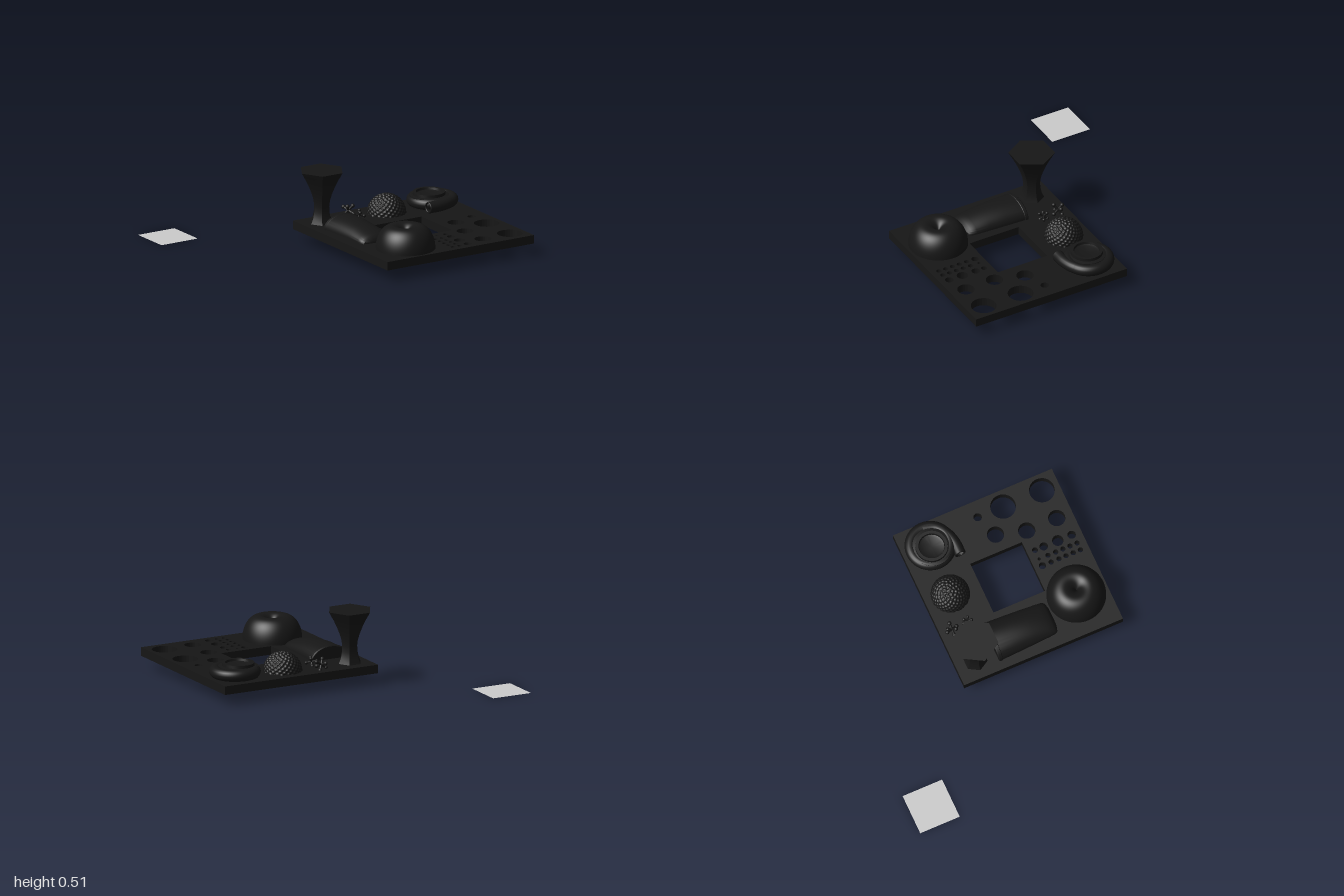
import * as THREE from 'three';
import { toCreasedNormals } from 'three/addons/utils/BufferGeometryUtils.js';

const BOTTOM = 0.083, TOP = 0.143;
const dark = new THREE.MeshStandardMaterial({ color: 0x161616, side: THREE.DoubleSide });
const grey = new THREE.MeshStandardMaterial({ color: 0xcccccc, side: THREE.DoubleSide });
const v2 = (pts) => pts.map(([x, y]) => new THREE.Vector2(x, y));

function add(parent, name, geometry, x = 0, y = 0, z = 0, material = dark) {
  const mesh = new THREE.Mesh(geometry, material);
  mesh.name = name;
  mesh.position.set(x, y, z);
  parent.add(mesh);
  return mesh;
}

// Board with a square window and a set of round holes
function boardGeometry() {
  const rect = (C, x0, x1, z0, z1) => new C(v2([[x0, z0], [x1, z0], [x1, z1], [x0, z1]]));
  const shape = rect(THREE.Shape, -0.19, 1, -0.25, 0.935);
  shape.holes.push(rect(THREE.Path, 0.21, 0.597, 0.147, 0.532));
  const circles = [
    [0.885, 0.52, 0.088], [0.885, 0.81, 0.088], [0.72, 0.39, 0.059], [0.885, 0.33, 0.029],
    [0.66, 0.596, 0.059], [0.66, 0.82, 0.059], [0.508, 0.59, 0.02], [0.508, 0.655, 0.029],
    [0.508, 0.76, 0.039], [0.508, 0.863, 0.029], [0.384, 0.59, 0.025], [0.438, 0.59, 0.011],
  ];
  for (const x of [0.384, 0.438])
    for (const z of [0.655, 0.713, 0.767, 0.82, 0.873]) circles.push([x, z, 0.018]);
  for (const [x, z, r] of circles)
    shape.holes.push(new THREE.Path().absarc(x, z, r, 0, Math.PI * 2, true));
  return new THREE.ExtrudeGeometry(shape, { depth: TOP - BOTTOM, bevelEnabled: false, curveSegments: 16 })
    .rotateX(Math.PI / 2);
}

// Dome with a dimpled crown: upper half of a ring whose tube overlaps its axis
function domeGeometry() {
  const R = 0.093, r = 0.111, h = 0.162, end = Math.PI - Math.acos(R / r);
  const pts = [];
  for (let i = 0; i <= 28; i++) {
    const a = (end * i) / 28;
    pts.push([Math.max(0, R + r * Math.cos(a)), h * Math.sin(a)]);
  }
  return new THREE.LatheGeometry(v2(pts), 64);
}

// Half cup lying on its side: half-ellipse sections [z, half width, height]
function cupGeometry() {
  const rows = [
    [0.04, 0, 0], [0.04, 0.142, 0.088], [0.046, 0.149, 0.094], [0.065, 0.149, 0.095], [0.068, 0.145, 0.092],
    [0.2, 0.139, 0.094], [0.33, 0.132, 0.082], [0.43, 0.126, 0.062], [0.47, 0.122, 0.05],
    [0.49, 0.11, 0.035], [0.5, 0.07, 0.018], [0.502, 0, 0],
  ];
  const n = 32, g = new THREE.PlaneGeometry(1, 1, n, rows.length - 1), p = g.attributes.position;
  for (let j = 0; j < rows.length; j++) {
    const [z, w, h] = rows[j];
    for (let i = 0; i <= n; i++) {
      const a = Math.PI * (1 - i / n);
      p.setXYZ(j * (n + 1) + i, w * Math.cos(a), h * Math.sin(a), z);
    }
  }
  return toCreasedNormals(g, 0.7);
}

// Half ball covered in evenly spread round dimples
function dimpledBallGeometry() {
  const r = 0.135, count = 190, size = 0.092;
  const centres = [];
  for (let i = 0; i < count; i++) {
    const y = 1 - (i + 0.5) / count, s = Math.sqrt(1 - y * y), a = i * Math.PI * (3 - Math.sqrt(5));
    centres.push(new THREE.Vector3(s * Math.cos(a), y, s * Math.sin(a)));
  }
  const g = new THREE.SphereGeometry(1, 160, 60, 0, Math.PI * 2, 0, Math.PI / 2);
  const p = g.attributes.position, v = new THREE.Vector3();
  for (let i = 0; i < p.count; i++) {
    v.fromBufferAttribute(p, i).normalize();
    let near = -1;
    for (const c of centres) near = Math.max(near, c.dot(v));
    const d = Math.acos(Math.min(1, near)) / size;
    v.multiplyScalar(r - 0.007 * Math.max(0, 1 - d * d));
    p.setXYZ(i, v.x, v.y, v.z);
  }
  g.computeVertexNormals();
  return g;
}

// Coiled hose with a straight open end and a stepped hub
function buildCoil() {
  const coil = new THREE.Group();
  coil.name = 'coil';
  coil.position.set(0.815, TOP, -0.053);
  add(coil, 'coilRing', new THREE.TorusGeometry(0.137, 0.04, 20, 64).rotateX(Math.PI / 2), 0, 0.04, 0);
  const tail = new THREE.CatmullRomCurve3([
    [0.137, 0.0], [0.105, 0.085], [0.03, 0.138], [-0.05, 0.16], [-0.135, 0.162],
  ].map(([x, z]) => new THREE.Vector3(x, 0.04, z)));
  add(coil, 'coilTail', new THREE.TubeGeometry(tail, 24, 0.04, 20));
  add(coil, 'coilTailRim', new THREE.TorusGeometry(0.034, 0.006, 8, 24).rotateY(Math.PI / 2), -0.135, 0.04, 0.162);
  const hub = v2([[0.137, 0], [0.137, 0.076], [0.112, 0.08], [0.11, 0.1], [0.09, 0.1],
    [0.086, 0.085], [0.07, 0.08], [0, 0.08]]);
  add(coil, 'coilHub', toCreasedNormals(new THREE.LatheGeometry(hub, 48), 0.6), -0.025, 0, -0.002);
  return coil;
}

// Six-sided flared pedestal, a corner pointing to each side
function pedestalGeometry() {
  const pts = v2([[0.085, 0], [0.068, 0.04], [0.06, 0.08], [0.058, 0.12], [0.064, 0.165], [0.078, 0.21],
    [0.099, 0.26], [0.124, 0.31], [0.145, 0.345], [0.16, 0.372], [0, 0.372]]);
  return toCreasedNormals(new THREE.LatheGeometry(pts, 6).rotateY(Math.PI / 2), 0.6);
}

// Small knotted trinkets: crossed pegs with round ends
function buildTrinket(x, z, s, turn) {
  const trinket = new THREE.Group();
  trinket.name = 'trinket';
  trinket.position.set(x, TOP + s * 0.7, z);
  trinket.rotation.set(0.4, turn, 0.5);
  for (const axis of ['x', 'y', 'z']) {
    const peg = add(trinket, 'peg', new THREE.CylinderGeometry(s * 0.18, s * 0.18, s * 2, 12));
    if (axis === 'x') peg.rotation.z = Math.PI / 2;
    if (axis === 'z') peg.rotation.x = Math.PI / 2;
    for (const side of [-1, 1])
      add(trinket, 'pegEnd', new THREE.SphereGeometry(s * 0.32, 12, 8)).position[axis] = side * s;
  }
  return trinket;
}

export function createModel() {
  const model = new THREE.Group();
  model.name = 'sampleBoard';
  add(model, 'board', boardGeometry(), 0, TOP, 0);
  add(model, 'dome', domeGeometry(), 0.099, TOP, 0.715);
  add(model, 'halfCup', cupGeometry(), 0.018, TOP, 0);
  add(model, 'dimpledBall', dimpledBallGeometry(), 0.452, TOP, -0.067);
  add(model, 'pedestal', pedestalGeometry(), -0.05, TOP, -0.105);
  model.add(buildCoil());
  model.add(buildTrinket(0.205, -0.165, 0.045, 0.3));
  model.add(buildTrinket(0.215, -0.045, 0.036, 1.1));

  // Separate flat sheet on the ground
  add(model, 'sheet', new THREE.PlaneGeometry(0.295, 0.295).rotateX(-Math.PI / 2), -0.8525, 0, -0.7925, grey);
  return model;
}
